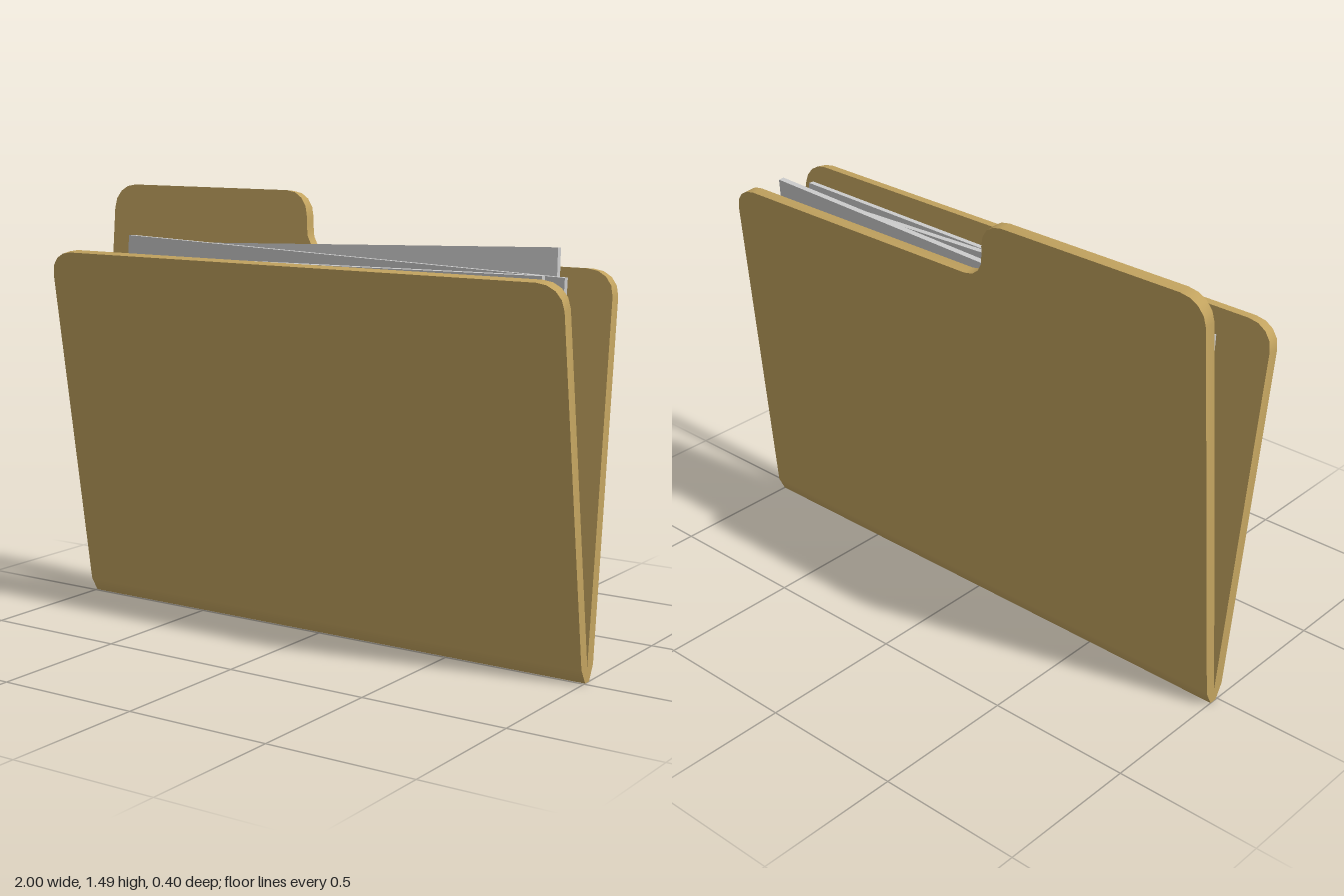
import * as THREE from 'three';
import { toCreasedNormals } from 'three/addons/utils/BufferGeometryUtils.js';

const card = new THREE.MeshStandardMaterial({ color: 0xc2a35f });
const paper = new THREE.MeshStandardMaterial({ color: 0xcccccc });
const FOLD = 0.05, THICK = 0.04, FOLD_Z = -0.02;

function addMesh(group, name, geometry, material) {
  const mesh = new THREE.Mesh(geometry, material);
  mesh.name = name;
  group.add(mesh);
  return mesh;
}

// Extrudes a cover outline and leans it away from the fold; side is +1 front, -1 back
function coverGeometry(shape, slope, side) {
  const geo = new THREE.ExtrudeGeometry(shape, { depth: 1, bevelEnabled: false, curveSegments: 4 });
  const p = geo.attributes.position;
  for (let i = 0; i < p.count; i++) {
    const y = p.getY(i);
    const out = side > 0 ? p.getZ(i) : 1 - p.getZ(i);
    const rise = (y - FOLD) / 1.22;
    p.setY(i, y - out * rise * THICK * slope);
    p.setZ(i, FOLD_Z + side * ((y - FOLD) * slope + out * THICK));
  }
  return toCreasedNormals(geo, 0.6);
}

function frontShape() {
  const s = new THREE.Shape();
  s.moveTo(-1, FOLD);
  s.lineTo(1, FOLD);
  s.lineTo(1, 1.19);
  s.bezierCurveTo(1, 1.24, 0.96, 1.272, 0.91, 1.272);
  s.lineTo(-0.91, 1.272);
  s.bezierCurveTo(-0.96, 1.272, -1, 1.24, -1, 1.19);
  s.closePath();
  return s;
}

// Back cover with a raised tab over its right half
function backShape() {
  const s = new THREE.Shape();
  s.moveTo(-1, FOLD);
  s.lineTo(1, FOLD);
  s.lineTo(1, 1.2);
  s.bezierCurveTo(1, 1.25, 0.96, 1.282, 0.91, 1.282);
  s.lineTo(-0.07, 1.282);
  s.bezierCurveTo(-0.12, 1.282, -0.15, 1.32, -0.15, 1.37);
  s.lineTo(-0.152, 1.4);
  s.bezierCurveTo(-0.155, 1.45, -0.19, 1.486, -0.24, 1.486);
  s.lineTo(-0.91, 1.486);
  s.bezierCurveTo(-0.96, 1.486, -1, 1.45, -1, 1.4);
  s.closePath();
  return s;
}

// Bevelled fold strip whose shading blends into both covers
function spineGeometry() {
  const s = new THREE.Shape([
    new THREE.Vector2(FOLD_Z + THICK, FOLD),
    new THREE.Vector2(FOLD_Z - THICK, FOLD),
    new THREE.Vector2(-0.035, 0),
    new THREE.Vector2(-0.008, 0),
  ]);
  const geo = new THREE.ExtrudeGeometry(s, { depth: 2, bevelEnabled: false });
  geo.rotateY(-Math.PI / 2).translate(1, 0, 0);
  const p = geo.attributes.position, n = geo.attributes.normal;
  for (let i = 0; i < p.count; i++) {
    const sloped = Math.abs(n.getX(i)) < 0.5 && Math.abs(n.getZ(i)) > 0.3;
    if (sloped && p.getY(i) > 0.04) n.setXYZ(i, 0, -0.12, Math.sign(n.getZ(i)) * 0.99);
  }
  return geo;
}

export function createModel() {
  const model = new THREE.Group();
  model.name = 'fileFolder';

  addMesh(model, 'frontCover', coverGeometry(frontShape(), 0.148, 1), card);
  addMesh(model, 'backCover', coverGeometry(backShape(), 0.0957, -1), card);
  addMesh(model, 'spine', spineGeometry(), card);

  // Loose sheets: centre x and y, z at foot and head, turn within the sheet's plane
  const sheets = [
    { name: 'frontSheet', x: -0.008, y: 0.69, foot: -0.012, head: 0.035, turn: 0.012 },
    { name: 'middleSheet', x: 0.009, y: 0.718, foot: -0.018, head: -0.036, turn: -0.032 },
    { name: 'rearSheet', x: -0.028, y: 0.745, foot: -0.024, head: -0.13, turn: 0.035 },
  ];
  for (const { name, x, y, foot, head, turn } of sheets) {
    const geo = new THREE.BoxGeometry(1.725, 1.14, 0.02);
    geo.rotateZ(turn).rotateX(Math.atan((head - foot) / 1.14));
    addMesh(model, name, geo, paper).position.set(x, y, (foot + head) / 2);
  }
  return model;
}
